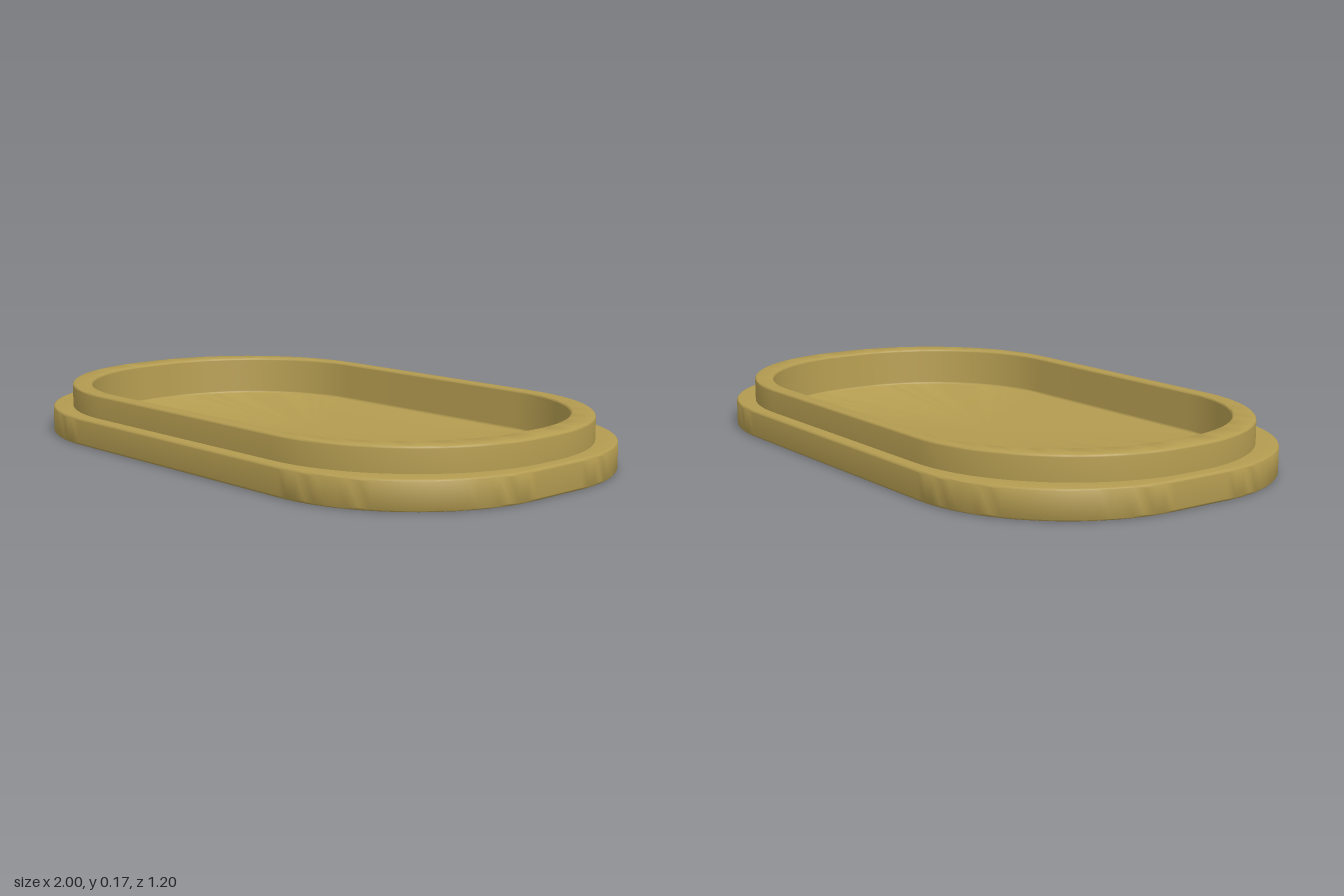
import * as THREE from 'three';
import { toCreasedNormals } from 'three/addons/utils/BufferGeometryUtils.js';

const CORNER_STEPS = 24;

// Rounded-rectangle loop: half sizes hx, hz, corner radius r, at height y
function ring([hx, hz, r, y]) {
  const points = [];
  const corners = [[1, 1], [-1, 1], [-1, -1], [1, -1]];
  corners.forEach(([sx, sz], q) => {
    for (let i = 0; i <= CORNER_STEPS; i++) {
      const a = (q + i / CORNER_STEPS) * Math.PI / 2;
      points.push([sx * (hx - r) + r * Math.cos(a), y, sz * (hz - r) + r * Math.sin(a)]);
    }
  });
  return points;
}

// Skin a list of loops; a loop of zero size closes the surface at its centre
function loft(sections) {
  const rings = sections.map(ring);
  const pos = [];
  for (let k = 0; k < rings.length - 1; k++) {
    const lo = rings[k], hi = rings[k + 1], n = lo.length;
    for (let i = 0; i < n; i++) {
      const j = (i + 1) % n;
      if (sections[k + 1][0] > 0) pos.push(...lo[i], ...hi[i], ...hi[j]);
      if (sections[k][0] > 0) pos.push(...lo[i], ...hi[j], ...lo[j]);
    }
  }
  const geo = new THREE.BufferGeometry();
  geo.setAttribute('position', new THREE.Float32BufferAttribute(pos, 3));
  return toCreasedNormals(geo, 0.6);
}

// Quarter-round edge: loops inset from an outline, swept from angle a0 to a1
function roundEdge([hx, hz, r], inset, y, radius, a0, a1) {
  return Array.from({ length: 5 }, (_, i) => {
    const a = (a0 + (a1 - a0) * i / 4) * Math.PI / 180;
    const d = inset - radius * Math.cos(a);
    return [hx - d, hz - d, r - d, y + radius * Math.sin(a)];
  });
}

export function createModel() {
  const model = new THREE.Group();
  model.name = 'oblongLid';
  const material = new THREE.MeshStandardMaterial({ color: 0xb39b50 });
  const add = (name, sections) => {
    const mesh = new THREE.Mesh(loft(sections), material);
    mesh.name = name;
    model.add(mesh);
  };

  const base = [1, 0.6, 0.5];
  const outer = [0.96, 0.56, 0.53];
  const inner = [0.873, 0.513, 0.475];
  const e = 0.008;
  const ledge = 0.09, top = 0.167, floor = 0.035;

  // Base plate with softened edges and the ledge around the rim
  add('basePlate', [
    [0, 0, 0, 0],
    ...roundEdge(base, e, e, e, -90, 0),
    ...roundEdge(base, e, ledge - e, e, 0, 90),
    [...outer, ledge],
  ]);

  // Raised rim, inner wall, small fillet and recessed floor
  add('raisedRim', [
    [...outer, ledge],
    ...roundEdge(outer, e, top - e, e, 0, 90),
    ...roundEdge(inner, -e, top - e, e, 90, 180),
    ...roundEdge(inner, e, floor + e, e, 0, -90),
    [0, 0, 0, floor],
  ]);
  return model;
}
